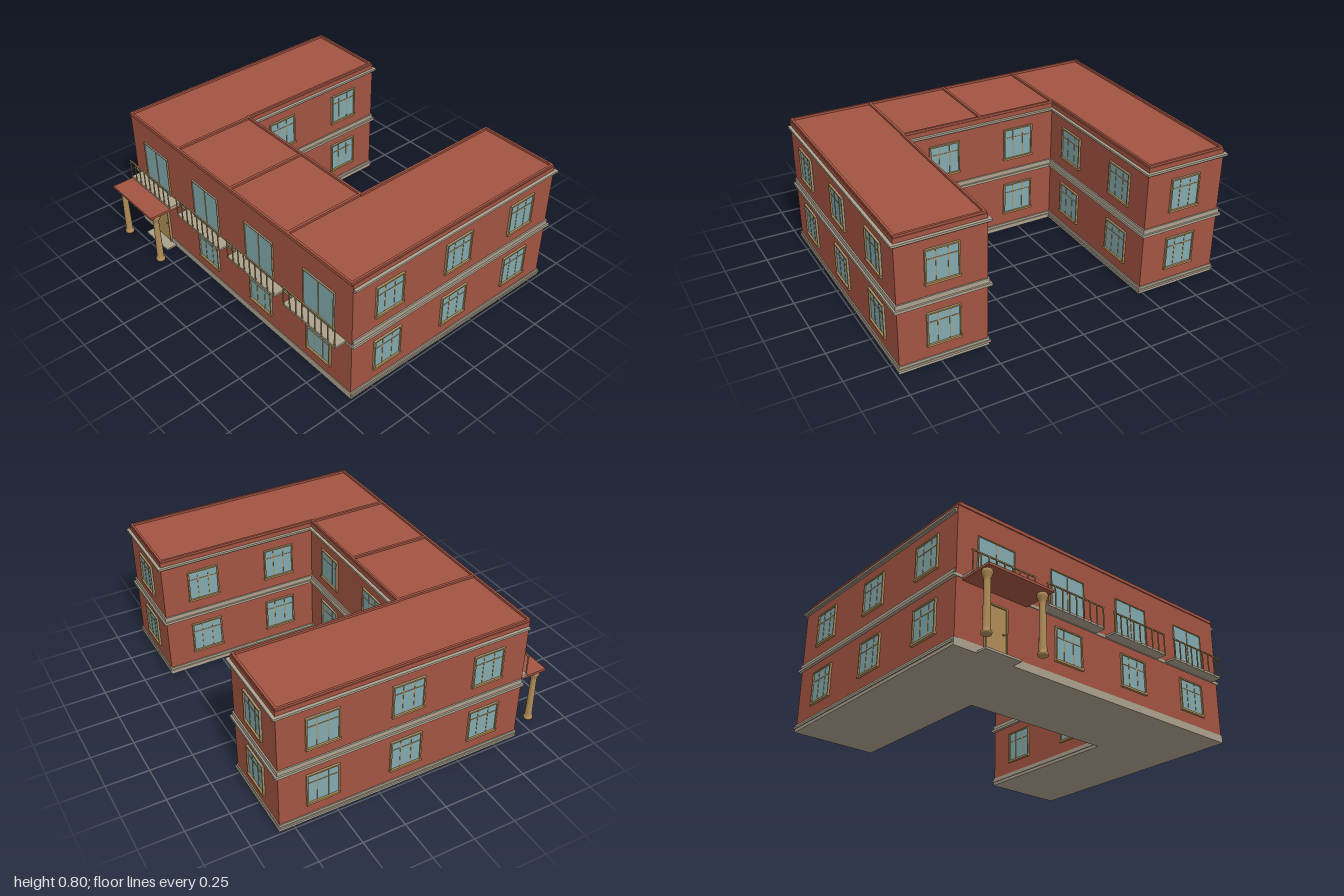
import * as THREE from 'three';

const mat = (name, color) => {
  const m = new THREE.MeshStandardMaterial({ color });
  m.name = name;
  return m;
};

export function createModel() {
  const brick = mat('brick red', 0xa35442);
  const stone = mat('stone beige', 0xaca18e);
  const glass = mat('window glass', 0x82a9ae);
  const wood = mat('tan wood', 0xb08d58);

  const model = new THREE.Group();
  model.name = 'building';

  const add = (parent, name, geometry, material) => {
    const m = new THREE.Mesh(geometry, material);
    m.name = name;
    parent.add(m);
    return m;
  };
  // Box given by its min and max corners
  const box = (parent, name, material, x0, x1, y0, y1, z0, z1) => {
    const g = new THREE.BoxGeometry(x1 - x0, y1 - y0, z1 - z0);
    g.translate((x0 + x1) / 2, (y0 + y1) / 2, (z0 + z1) / 2);
    return add(parent, name, g, material);
  };

  // U-shaped footprint: front wall, two rear wings, courtyard between them
  const HX = 0.98, CX = 0.48, BACK = -0.83, YARD = 0.14, FRONT = 0.645;
  const outline = (out, front) => [
    [-HX - out, front], [HX + out, front], [HX + out, BACK - out], [CX - out, BACK - out],
    [CX - out, YARD - out], [-CX + out, YARD - out], [-CX + out, BACK - out], [-HX - out, BACK - out],
  ].map(([x, z]) => new THREE.Vector2(x, -z));
  const slab = (name, material, y0, y1, out, front, hole) => {
    const shape = new THREE.Shape(outline(out, front));
    if (hole) shape.holes.push(new THREE.Path(hole));
    const g = new THREE.ExtrudeGeometry(shape, { depth: y1 - y0, bevelEnabled: false });
    g.rotateX(-Math.PI / 2).translate(0, y0, 0);
    return add(model, name, g, material);
  };

  // Walls, stone courses and roof
  slab('walls', brick, 0.002, 0.787, 0, FRONT);
  slab('baseCourse', stone, 0, 0.045, 0.006, FRONT + 0.004);
  slab('baseLedge', stone, 0.018, 0.03, 0.012, FRONT);
  slab('middleCourse', stone, 0.385, 0.415, 0.008, FRONT - 0.004);
  slab('middleLedge', stone, 0.372, 0.388, 0.018, FRONT + 0.004);
  slab('cornice', stone, 0.74, 0.752, 0.01, FRONT - 0.004);
  slab('corniceLedge', stone, 0.748, 0.76, 0.018, FRONT - 0.004);
  slab('parapet', brick, 0.78, 0.8, -0.004, FRONT + 0.006, outline(-0.017, FRONT - 0.007));
  for (const x of [-0.485, 0, 0.485]) {
    box(model, 'roofRidge', brick, x - 0.008, x + 0.008, 0.78, 0.799, YARD + 0.006, FRONT);
  }

  // Framed opening facing +z, standing on its lower edge
  const frame = (g, w, h, t, d) => {
    box(g, 'frameLeft', wood, w / 2 - t, w / 2, 0, h, 0, d);
    box(g, 'frameRight', wood, -w / 2, -w / 2 + t, 0, h, 0, d);
    box(g, 'frameTop', wood, -w / 2, w / 2, h - t, h, 0, d);
  };
  const place = (name, x, y, z, turn) => {
    const g = new THREE.Group();
    g.name = name;
    g.position.set(x, y, z);
    g.rotation.y = turn;
    model.add(g);
    return g;
  };
  const addWindow = (x, y, z, turn) => {
    const g = place('window', x, y, z, turn), w = 0.19, h = 0.195;
    box(g, 'pane', glass, -w / 2, w / 2, 0, h, 0, 0.004);
    frame(g, w, h, 0.008, 0.012);
    box(g, 'sill', wood, -w / 2 - 0.003, w / 2 + 0.003, -0.006, 0.006, 0, 0.015);
    for (const s of [-1, 1]) {
      box(g, 'mullion', wood, s * 0.033 - 0.0025, s * 0.033 + 0.0025, 0, h, 0, 0.006);
    }
    box(g, 'transom', wood, -w / 2, w / 2, 0.133, 0.138, 0, 0.006);
  };

  // Side, rear and courtyard windows on both floors
  const quarter = Math.PI / 2;
  for (const y of [0.12, 0.488]) {
    for (const s of [-1, 1]) {
      for (const z of [0.4, -0.09, -0.58]) addWindow(s * HX, y, z, s * quarter);
      for (const z of [-0.09, -0.58]) addWindow(s * CX, y, z, -s * quarter);
      addWindow(s * 0.73, y, BACK, Math.PI);
      addWindow(s * 0.243, y, YARD, Math.PI);
    }
  }
  // Front ground floor windows
  for (const x of [-0.243, 0.243, 0.73]) addWindow(x, 0.122, FRONT, 0);

  // Balconies with glazed doors
  for (const x of [-0.733, -0.243, 0.243, 0.73]) {
    const d = place('balconyDoor', x, 0.388, FRONT, 0);
    box(d, 'pane', glass, -0.12, 0.12, 0, 0.262, 0, 0.004);
    frame(d, 0.24, 0.262, 0.005, 0.009);
    box(d, 'centreBar', wood, -0.003, 0.003, 0, 0.262, 0, 0.007);

    const b = place('balcony', x, 0, 0, 0);
    box(b, 'balconySlab', stone, -0.207, 0.207, 0.376, 0.389, FRONT - 0.01, 0.715);
    box(b, 'handrail', wood, -0.207, 0.207, 0.501, 0.508, 0.711, 0.718);
    for (let i = 0; i < 9; i++) {
      const bx = -0.2 + i * 0.05;
      box(b, 'baluster', wood, bx - 0.0028, bx + 0.0028, 0.38, 0.503, 0.712, 0.7175);
    }
  }

  // Entrance door, step, canopy and columns
  const door = place('entranceDoor', -0.733, 0.012, FRONT, 0);
  box(door, 'doorLeaf', wood, -0.064, 0.064, 0, 0.278, 0, 0.006);
  frame(door, 0.142, 0.282, 0.008, 0.014);
  box(door, 'doorHandle', wood, 0.042, 0.052, 0.13, 0.138, 0, 0.014);
  box(model, 'entranceStep', stone, -0.845, -0.62, 0, 0.012, FRONT, 0.715);
  box(model, 'canopy', brick, -0.94, -0.527, 0.361, 0.3755, FRONT, 0.847);

  const profile = [
    [0, 0.02], [0.027, 0.02], [0.028, 0.033], [0.02, 0.042], [0.021, 0.05], [0.017, 0.3],
    [0.019, 0.318], [0.028, 0.338], [0.03, 0.35], [0.026, 0.362], [0, 0.362],
  ].map(([r, y]) => new THREE.Vector2(r, y));
  const columnGeometry = new THREE.LatheGeometry(profile, 16);
  for (const x of [-0.91, -0.56]) {
    add(model, 'column', columnGeometry, wood).position.set(x, 0, 0.798);
  }

  return model;
}
